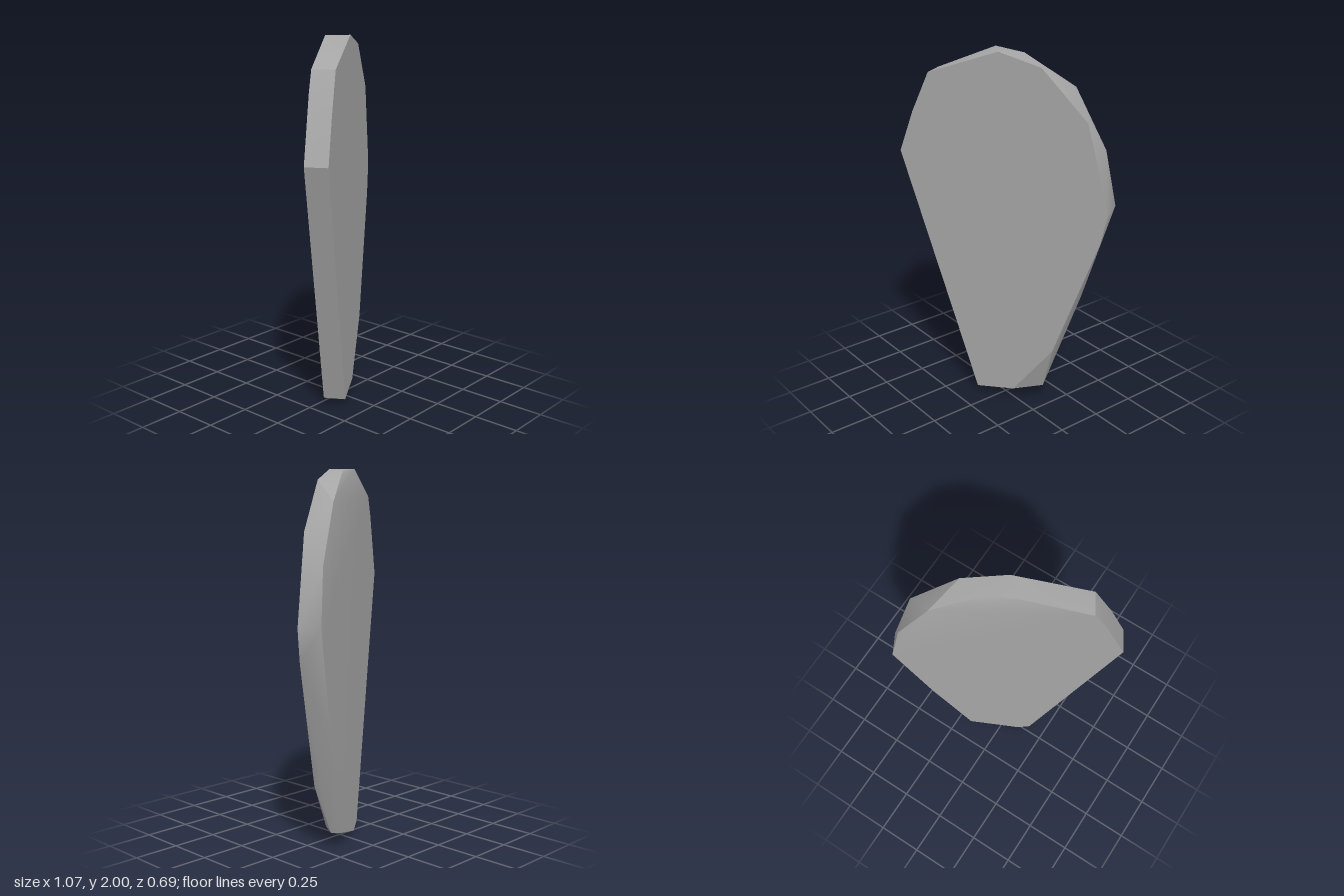
import * as THREE from 'three';
import { toCreasedNormals } from 'three/addons/utils/BufferGeometryUtils.js';
import { ConvexGeometry } from 'three/addons/geometries/ConvexGeometry.js';

const HALF = 0.06; // half the slab's thickness

// Outlines as [across, up], measured in the slab's own plane
const frontOutline = [
  [-0.588, 1.415], [-0.508, 1.64], [-0.41, 1.86], [-0.017, 2], [0.214, 1.94], [0.462, 1.685],
  [0.583, 1.225], [0.549, 1.05], [0.3, 0.36], [0.07, 0.065], [-0.15, 0.035],
];
const backOutline = [
  [-0.588, 1.415], [-0.468, 1.75], [-0.41, 1.86], [-0.08, 2], [0.356, 1.83],
  [0.586, 1.225], [0.416, 0.66], [0.216, 0.085], [-0.08, 0], [-0.15, 0.035],
];
// Chipped corners that lie between the two faces: [across, up, depth]
const chips = [[0.085, 1.985, -0.037], [0.527, 1.52, -0.053], [0.2245, 0.085, -0.009]];

export function createModel() {
  const model = new THREE.Group();
  model.name = 'stoneSlab';
  const stone = new THREE.MeshStandardMaterial({ color: 0xa6a6a6 });
  stone.name = 'grey stone';

  const points = [
    ...frontOutline.map(([x, y]) => new THREE.Vector3(x, y, HALF)),
    ...backOutline.map(([x, y]) => new THREE.Vector3(x, y, -HALF)),
    ...chips.map((p) => new THREE.Vector3(...p)),
  ];
  // Faceted slab with sharp rims and gently blended side facets
  const slab = new THREE.Mesh(toCreasedNormals(new ConvexGeometry(points), Math.PI / 6), stone);
  slab.name = 'slab';
  slab.rotation.y = Math.PI / 6;
  model.add(slab);
  return model;
}
